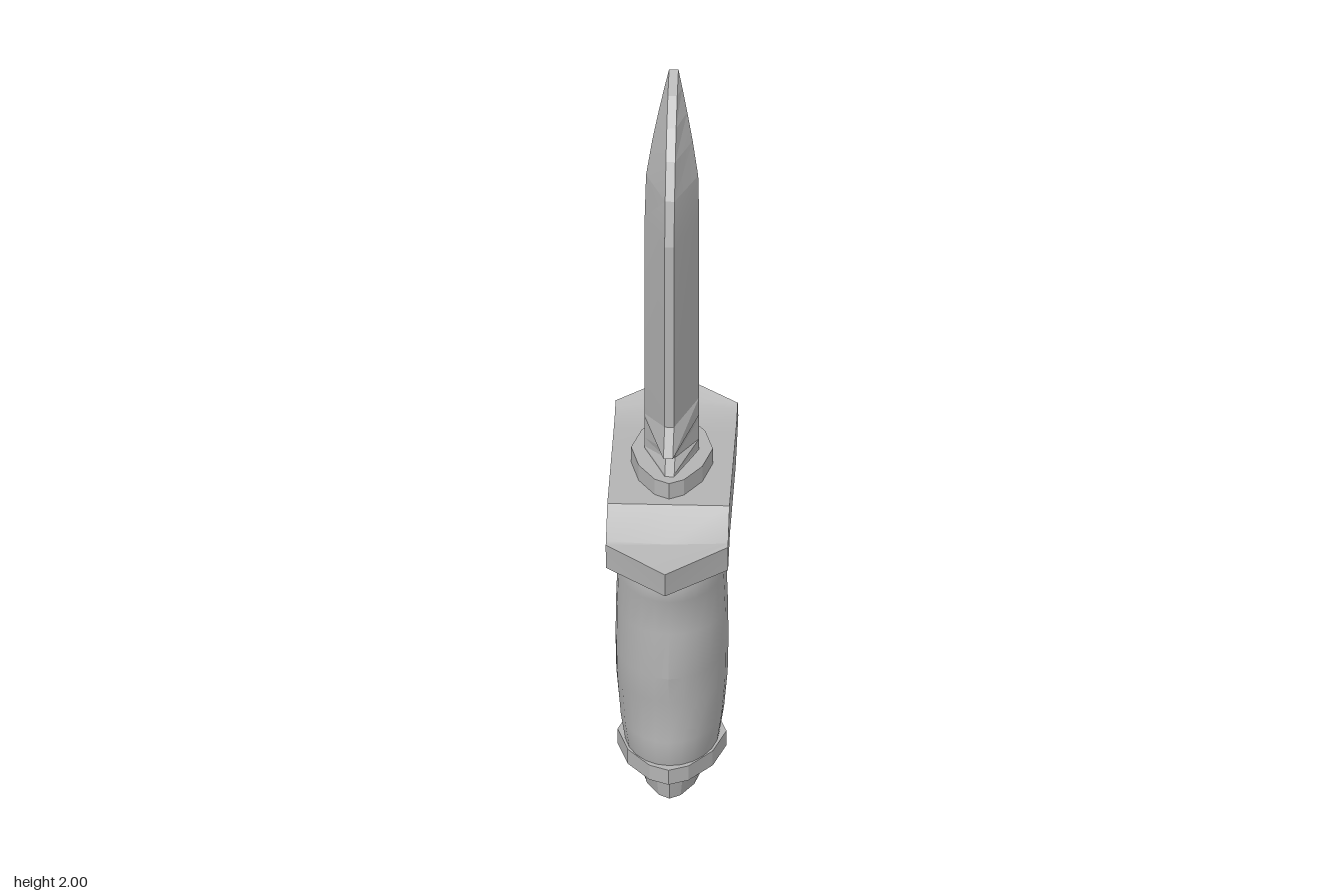
import * as THREE from 'three';
import { toCreasedNormals } from 'three/addons/utils/BufferGeometryUtils.js';

const MID = -0.03; // z of the widest line of blade and grip

// Skin a list of equal-length rings, with fan caps at both ends
function loft(rings, crease) {
  const n = rings[0].length, last = (rings.length - 1) * n, idx = [];
  for (let i = 0; i < rings.length - 1; i++) {
    for (let j = 0; j < n; j++) {
      const k = (j + 1) % n, a = i * n + j, b = i * n + k;
      idx.push(a, b, b + n, a, b + n, a + n);
    }
  }
  for (let j = 1; j < n - 1; j++) {
    idx.push(0, j + 1, j, last, last + j, last + j + 1);
  }
  const g = new THREE.BufferGeometry();
  g.setAttribute('position', new THREE.Float32BufferAttribute(rings.flat(2), 3));
  g.setIndex(idx);
  return toCreasedNormals(g, crease);
}

// Pointed oval ring: half width, front z, back z
const QUARTER = [[0, 1], [0.36, 0.88], [0.78, 0.5], [1, 0]];
function pointedRing(y, w, zf, zb) {
  const half = [...QUARTER, ...QUARTER.slice(0, 3).reverse().map(([x, z]) => [x, -z])];
  const all = [...half, ...half.slice(1, -1).reverse().map(([x, z]) => [-x, z])];
  return all.map(([x, z]) => [x * w, y, MID + z * (z > 0 ? zf - MID : MID - zb)]);
}

// Round ring with separate front and back depth
function roundRing(y, w, zf, zb, n = 24) {
  return Array.from({ length: n }, (_, i) => {
    const a = (i / n) * Math.PI * 2, c = Math.cos(a);
    return [Math.sin(a) * w, y, MID + c * (c > 0 ? zf - MID : MID - zb)];
  });
}

function bladeGeometry() {
  const t = 0.012;
  // front y, front z, ridge y, ridge z, ridge half width, back y, back z
  const rows = [
    [0.94, 0.135, 0.94, -0.026, 0.07, 0.94, -0.185],
    [0.96, 0.125, 0.96, -0.026, 0.07, 0.96, -0.185],
    [0.985, 0.08, 0.985, -0.026, 0.07, 0.985, -0.185],
    [1.016, 0.095, 1.045, -0.026, 0.07, 1.045, -0.185],
    [1.055, 0.217, 1.055, -0.026, 0.07, 1.055, -0.185],
    [1.105, 0.138, 1.105, -0.026, 0.07, 1.105, -0.185],
    [1.63, 0.138, 1.63, -0.026, 0.07, 1.63, -0.185],
    [1.746, 0.106, 1.746, -0.037, 0.067, 1.735, -0.17],
    [1.836, 0.058, 1.836, -0.058, 0.052, 1.825, -0.143],
    [1.905, 0.005, 1.905, -0.085, 0.037, 1.9, -0.126],
    [1.963, -0.063, 1.96, -0.115, 0.023, 1.95, -0.132],
    [2.0, -0.138, 1.998, -0.139, 0.0125, 1.996, -0.14],
  ];
  return loft(rows.map(([fy, fz, ry, rz, w, by, bz]) => [
    [t, fy, fz], [w, ry, rz], [t, by, bz], [-t, by, bz], [-w, ry, rz], [-t, fy, fz],
  ]), 0.12);
}

function guardGeometry() {
  const w = 0.157;
  // [top z, top y, bottom z, bottom y] on the centre line and on the side edges
  const stations = [
    { mid: [-0.39, 0.974, -0.42, 0.926], side: [-0.318, 0.934, -0.35, 0.88] },
    { mid: [-0.32, 0.932, -0.34, 0.872], side: [-0.3, 0.926, -0.325, 0.866] },
    { mid: [-0.26, 0.914, -0.26, 0.84], side: [-0.26, 0.914, -0.26, 0.84] },
    { mid: [-0.2, 0.912, -0.19, 0.818], side: [-0.2, 0.912, -0.19, 0.818] },
    { mid: [0.195, 0.91, 0.165, 0.816], side: [0.195, 0.91, 0.165, 0.816] },
    { mid: [0.285, 0.842, 0.275, 0.774], side: [0.28, 0.846, 0.275, 0.774] },
    { mid: [0.417, 0.825, 0.407, 0.757], side: [0.292, 0.841, 0.287, 0.772] },
  ];
  return loft(stations.map(({ mid, side }) => [
    [0, mid[3], mid[2]], [w, side[3], side[2]], [w, side[1], side[0]],
    [0, mid[1], mid[0]], [-w, side[1], side[0]], [-w, side[3], side[2]],
  ]), 0.5);
}

// Grip with finger grooves along the front: y, half width, front z, back z
function gripGeometry() {
  const rows = [
    [0.11, 0.118, 0.16, -0.2], [0.13, 0.122, 0.164, -0.206], [0.206, 0.134, 0.18, -0.228],
    [0.307, 0.143, 0.148, -0.246], [0.4, 0.145, 0.195, -0.249], [0.508, 0.144, 0.153, -0.249],
    [0.62, 0.14, 0.187, -0.249], [0.655, 0.137, 0.19, -0.242], [0.735, 0.122, 0.167, -0.22],
    [0.75, 0.112, 0.145, -0.2],
  ];
  return loft(rows.map((r) => roundRing(...r)), 0.9);
}

export function createModel() {
  const group = new THREE.Group();
  const steel = new THREE.MeshStandardMaterial({ color: 0xb3b3b3 });
  steel.name = 'grey steel';
  const add = (name, geometry) => {
    const mesh = new THREE.Mesh(geometry, steel);
    mesh.name = name;
    group.add(mesh);
  };

  add('blade', bladeGeometry());
  add('bladeCollar', loft([
    pointedRing(0.9, 0.105, 0.165, -0.217), pointedRing(0.955, 0.105, 0.165, -0.217),
  ], 0.3));
  add('guard', guardGeometry());
  add('neck', loft([
    roundRing(0.74, 0.11, 0.14, -0.196), roundRing(0.83, 0.11, 0.14, -0.196),
  ], 0.6));
  add('grip', gripGeometry());
  add('pommelRing', loft([
    pointedRing(0.09, 0.14, 0.19, -0.238), pointedRing(0.132, 0.14, 0.19, -0.238),
  ], 0.3));
  add('pommelCap', loft([
    pointedRing(0, 0.01, -0.015, -0.045), pointedRing(0.02, 0.078, 0.135, -0.188),
    pointedRing(0.1, 0.1, 0.146, -0.198),
  ], 0.3));
  return group;
}
